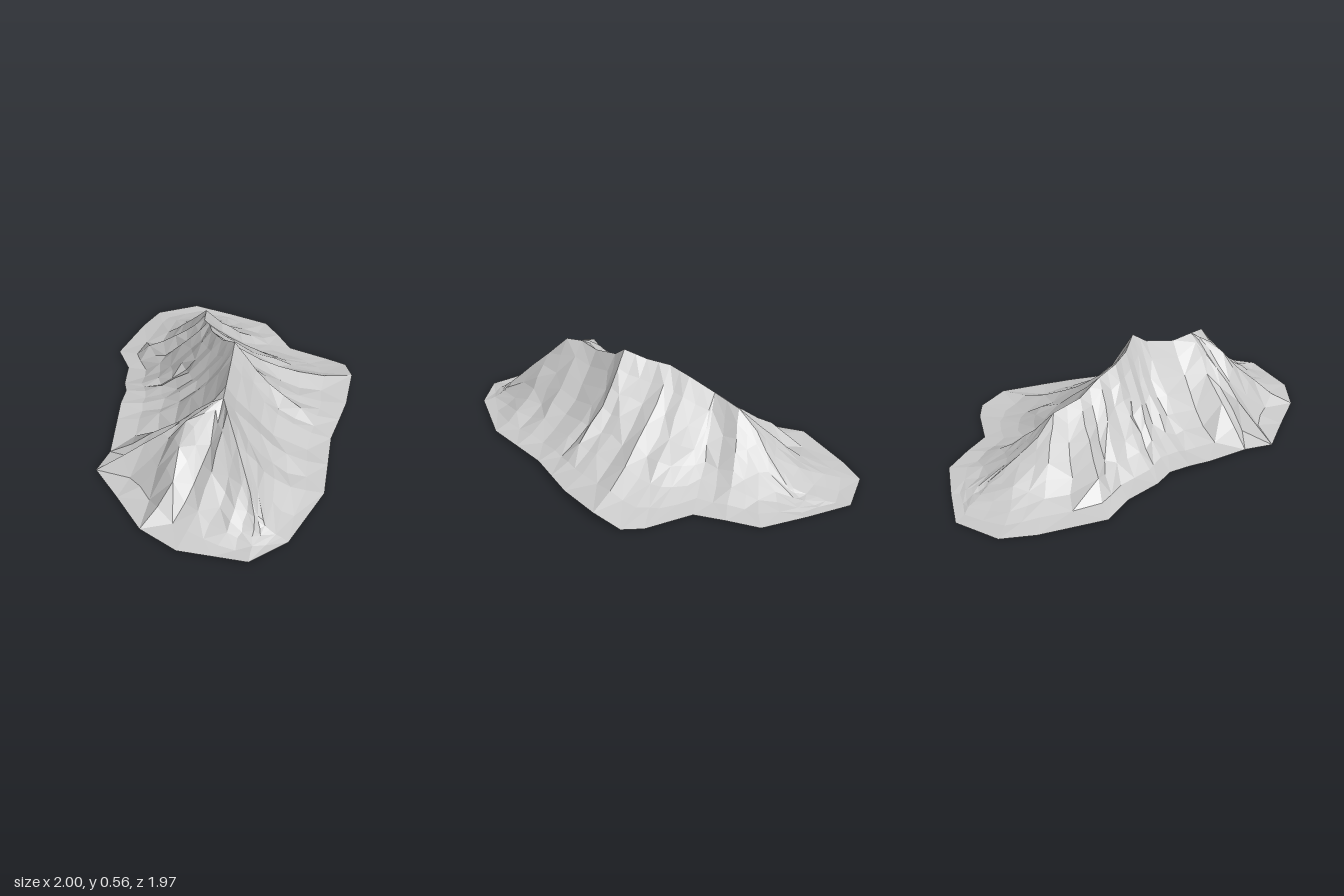
import * as THREE from 'three';

// Main crest line, [x, y, z]
const crest = [
  [-0.63, 0.12, 0.79], [-0.56, 0.25, 0.67], [-0.5, 0.35, 0.57], [-0.44, 0.465, 0.46],
  [-0.37, 0.475, 0.38], [-0.26, 0.46, 0.31], [-0.1, 0.5, 0.22], [-0.02, 0.56, 0.18],
  [0.02, 0.51, 0.06], [0.08, 0.49, -0.06], [0.17, 0.455, -0.15], [0.27, 0.395, -0.27],
  [0.41, 0.36, -0.37], [0.49, 0.26, -0.45], [0.58, 0.18, -0.48], [0.74, 0.06, -0.55],
];

// Foot of the mountain, [x, y, z, index of the crest point above it]
const foot = [
  [-0.84, 0.01, 0.91, 0], [-0.61, 0.01, 0.98, 0], [-0.2, 0.015, 0.92, 2], [0, 0.02, 0.81, 4],
  [0.2, 0.025, 0.7, 6], [0.37, 0.03, 0.645, 7], [0.53, 0.03, 0.59, 8], [0.78, 0.045, 0.47, 9],
  [0.9, 0.01, 0.35, 10], [0.9, 0, 0.23, 11], [0.84, 0.01, -0.03, 11], [0.92, 0.01, -0.18, 12],
  [1, 0, -0.34, 13], [0.95, 0, -0.6, 15], [0.89, 0, -0.85, 15], [0.66, 0, -0.99, 14],
  [0.47, 0, -0.96, 12], [0.12, 0.01, -0.85, 11], [0.02, 0.01, -0.68, 10], [-0.14, 0.03, -0.56, 9],
  [-0.21, 0.05, -0.48, 8], [-0.32, 0.05, -0.42, 7], [-0.43, 0.03, -0.345, 6], [-0.65, 0.01, -0.19, 4],
  [-0.81, 0.01, -0.14, 4], [-0.9, 0.01, 0.1, 4], [-1, 0.01, 0.35, 4], [-1, 0.01, 0.59, 3],
  [-0.92, 0.01, 0.75, 1],
];

// Side spurs running down from the crest
const spurs = [
  [[-0.4, 0.465, 0.36], [-0.56, 0.39, 0.3], [-0.65, 0.28, 0.31], [-0.73, 0.2, 0.34], [-0.86, 0.07, 0.36]],
  [[-0.37, 0.46, 0.38], [-0.46, 0.29, 0.18], [-0.54, 0.16, 0], [-0.58, 0.09, -0.08]],
  [[-0.45, 0.41, 0.29], [-0.6, 0.23, 0.12], [-0.72, 0.09, -0.04]],
  [[0.16, 0.45, -0.17], [0.13, 0.33, -0.27], [0.1, 0.2, -0.39]],
  [[0.27, 0.38, -0.29], [0.23, 0.24, -0.45], [0.18, 0.12, -0.62]],
  [[0.41, 0.35, -0.38], [0.43, 0.2, -0.54], [0.44, 0.11, -0.65]],
  [[0.42, 0.34, -0.37], [0.55, 0.2, -0.32], [0.7, 0.08, -0.26]],
  [[0.17, 0.45, -0.15], [0.3, 0.28, -0.06], [0.42, 0.18, 0.02], [0.55, 0.1, 0.11]],
  [[-0.45, 0.44, 0.46], [-0.55, 0.29, 0.48], [-0.66, 0.17, 0.51]],
  [[-0.02, 0.53, 0.19], [0.06, 0.36, 0.27], [0.15, 0.21, 0.38]],
];

let seed;
function random() {
  seed = (seed * 16807) % 2147483647;
  return seed / 2147483647;
}

const mix = (a, b, t) => a.map((v, i) => v + (b[i] - v) * t);

function crestAt(index) {
  const i = Math.min(Math.floor(index), crest.length - 2);
  return mix(crest[i], crest[i + 1], index - i);
}

// Height of the highest spur over a point: a narrow flat back with steep flanks
function spurHeight(x, z) {
  let best = 0;
  for (const line of spurs) {
    for (let i = 0; i < line.length - 1; i++) {
      const [a, b] = [line[i], line[i + 1]];
      const dx = b[0] - a[0], dz = b[2] - a[2];
      const s = ((x - a[0]) * dx + (z - a[2]) * dz) / (dx * dx + dz * dz);
      const p = mix(a, b, THREE.MathUtils.clamp(s, 0, 1));
      const distance = Math.max(0, Math.hypot(x - p[0], z - p[2]) - 0.02);
      best = Math.max(best, p[1] - 1.7 * distance);
    }
  }
  return best;
}

function createSlopes() {
  const rings = [0, 0.1, 0.21, 0.33, 0.46, 0.61, 0.79, 1];
  const perSide = 2;
  const positions = [];
  const columns = foot.length * perSide;

  // One column of points from crest to foot, alternating rib and gully
  for (let j = 0; j < columns; j++) {
    const k = Math.floor(j / perSide);
    const base = mix(foot[k], foot[(k + 1) % foot.length], (j % perSide) / perSide);
    const top = crestAt(base[3]);
    const power = (j % 2 ? 2.2 : 1.95) + (random() - 0.5) * 0.3;
    rings.forEach((t, r) => {
      const inner = r > 0 && r < rings.length - 1;
      const wobble = inner ? 0.09 * t * (1 - t) : 0;
      const x = top[0] + (base[0] - top[0]) * t + (random() - 0.5) * wobble;
      const z = top[2] + (base[2] - top[2]) * t + (random() - 0.5) * wobble;
      let y = base[1] + (top[1] - base[1]) * Math.pow(1 - t, power);
      if (inner) y = Math.max(y, spurHeight(x, z)) + (random() - 0.5) * wobble * 0.5;
      positions.push(x, Math.max(y, 0), z);
    });
  }

  // Join neighbouring columns, alternating the diagonals
  const index = [];
  const n = rings.length;
  for (let j = 0; j < columns; j++) {
    const next = (j + 1) % columns;
    for (let r = 0; r < n - 1; r++) {
      const a = j * n + r, b = a + 1, d = next * n + r, c = d + 1;
      if (r === 0 || (j + r) % 2) index.push(a, b, c, a, c, d);
      else index.push(a, b, d, b, c, d);
    }
  }
  const geometry = new THREE.BufferGeometry();
  geometry.setAttribute('position', new THREE.Float32BufferAttribute(positions, 3));
  geometry.setIndex(index);
  geometry.computeVertexNormals();
  return geometry;
}

export function createModel() {
  seed = 7;
  const model = new THREE.Group();
  model.name = 'mountain';
  const rock = new THREE.MeshStandardMaterial({
    color: 0xcccccc, flatShading: true, side: THREE.DoubleSide,
  });
  // Open shell of rock, hollow underneath
  const slopes = new THREE.Mesh(createSlopes(), rock);
  slopes.name = 'mountainSlopes';
  model.add(slopes);
  return model;
}
